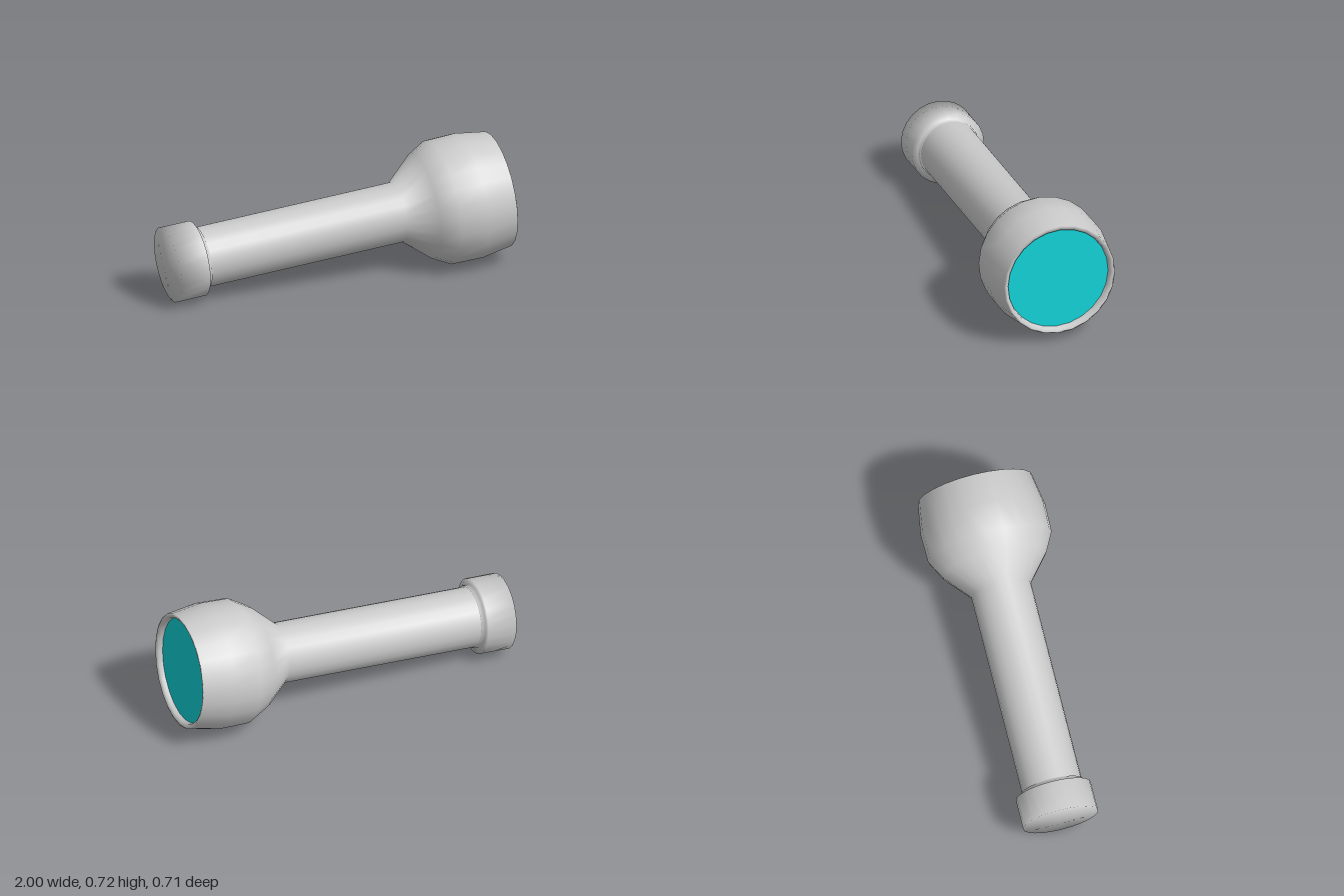
import * as THREE from 'three';

const SIDES = 24;

// Turned part from [radius, position along the axis] pairs
function turned(name, profile, color = 0xcccccc) {
  const points = profile.map(([r, t]) => new THREE.Vector2(r, t));
  const mesh = new THREE.Mesh(
    new THREE.LatheGeometry(points, SIDES, -0.05),
    new THREE.MeshStandardMaterial({ color, side: THREE.DoubleSide })
  );
  mesh.name = name;
  return mesh;
}

export function createModel() {
  const torch = new THREE.Group();
  torch.name = 'flashlight';

  // Tail cap with a narrow collar where it meets the grip
  torch.add(turned('tailCap', [
    [0, -0.986], [0.215, -0.986], [0.214, -0.815], [0.18, -0.815], [0.178, -0.79], [0.168, -0.79],
  ]));

  // Straight grip flaring into the bulbous head, rim folded back to the lens
  torch.add(turned('gripAndHead', [
    [0.171, -0.8], [0.171, 0.376], [0.298, 0.527], [0.354, 0.632], [0.357, 0.793],
    [0.328, 0.972], [0.318, 0.976], [0.302, 0.965], [0.298, 0.94],
  ]));

  // Flat lens recessed inside the rim
  torch.add(turned('lens', [[0.299, 0.941], [0, 0.941]], 0x10ced4));

  // Lay the axis along x, resting on the head and tail cap
  torch.rotation.set(0, 0.0085, -Math.PI / 2 + 0.0853);
  torch.position.set(0, 0.305, 0.0035);

  const model = new THREE.Group();
  model.add(torch);
  return model;
}
